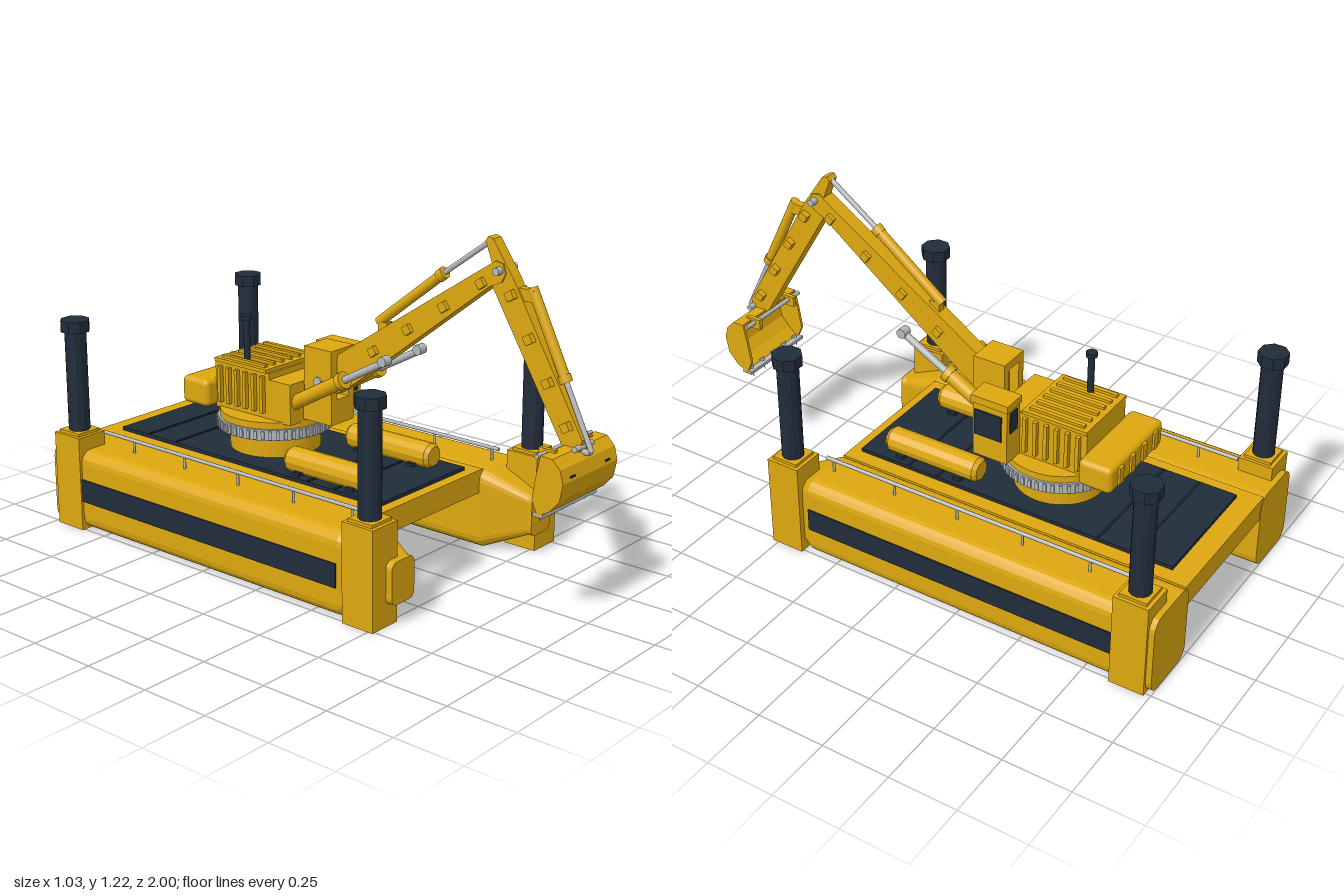
import * as THREE from 'three';
import { RoundedBoxGeometry } from 'three/addons/geometries/RoundedBoxGeometry.js';

const makeMat = (name, color, side = THREE.FrontSide) => {
  const m = new THREE.MeshStandardMaterial({ color, side });
  m.name = name;
  return m;
};

export function createModel() {
  const yellow = makeMat('machineYellow', 0xdca70f);
  const dark = makeMat('darkSteel', 0x212c3a);
  const silver = makeMat('bareMetal', 0xb4b8bc);
  const root = new THREE.Group();
  root.name = 'amphibiousExcavator';

  const add = (name, geo, mat, x = 0, y = 0, z = 0) => {
    const m = new THREE.Mesh(geo, mat);
    m.name = name;
    m.position.set(x, y, z);
    root.add(m);
    return m;
  };
  // box from its limits on each axis
  const box = (name, mat, x0, x1, y0, y1, z0, z1, r = 0) => {
    const s = [x1 - x0, y1 - y0, z1 - z0];
    const g = r ? new RoundedBoxGeometry(...s, 2, r) : new THREE.BoxGeometry(...s);
    return add(name, g, mat, (x0 + x1) / 2, (y0 + y1) / 2, (z0 + z1) / 2);
  };
  const drum = (name, mat, r, y0, y1, x, z, sides = 24) => {
    const g = new THREE.CylinderGeometry(r, r, y1 - y0, sides).rotateY(Math.PI / sides);
    return add(name, sides < 16 ? flat(g) : g, mat, x, (y0 + y1) / 2, z);
  };
  const flat = g => { const f = g.toNonIndexed(); f.computeVertexNormals(); return f; };
  // round bar between two points
  const bar = (name, mat, r, a, b, sides = 16) => {
    const p = new THREE.Vector3(...a), q = new THREE.Vector3(...b), d = q.clone().sub(p);
    const m = add(name, new THREE.CylinderGeometry(r, r, d.length(), sides), mat);
    m.position.copy(p.add(q).multiplyScalar(0.5));
    m.quaternion.setFromUnitVectors(new THREE.Vector3(0, 1, 0), d.normalize());
    return m;
  };
  // side profile of [z, y] points given a width along x
  const plate = (name, mat, pts, width, x = 0) => {
    const g = new THREE.ExtrudeGeometry(new THREE.Shape(pts.map(p => new THREE.Vector2(...p))),
      { depth: width, bevelEnabled: false });
    return add(name, g.translate(0, 0, -width / 2).rotateY(-Math.PI / 2), mat, x);
  };
  // rounded rectangle ring, counter-clockwise seen from +z
  const ring = (x0, x1, y0, y1, r, z) => {
    const out = [];
    [[x1 - r, y1 - r], [x0 + r, y1 - r], [x0 + r, y0 + r], [x1 - r, y0 + r]].forEach(([cx, cy], q) => {
      for (let i = 0; i <= 4; i++) {
        const a = (q + i / 4) * Math.PI / 2;
        out.push([cx + r * Math.cos(a), cy + r * Math.sin(a), z]);
      }
    });
    return out;
  };
  const loft = rings => {
    const v = [], n = rings[0].length;
    const mid = r => [0, 1, 2].map(k => r.reduce((s, p) => s + p[k], 0) / n);
    const first = rings[0], last = rings[rings.length - 1], c0 = mid(first), c1 = mid(last);
    for (let i = 0; i < n; i++) {
      const j = (i + 1) % n;
      for (let k = 0; k + 1 < rings.length; k++) {
        const a = rings[k], b = rings[k + 1];
        v.push(a[i], a[j], b[j], a[i], b[j], b[i]);
      }
      v.push(c0, first[j], first[i], c1, last[i], last[j]);
    }
    const g = new THREE.BufferGeometry();
    g.setAttribute('position', new THREE.Float32BufferAttribute(v.flat(), 3));
    g.computeVertexNormals();
    return g;
  };

  // Hull: deck with two floats
  box('deck', yellow, -0.29, 0.29, 0.215, 0.3, -0.998, 0.36);
  box('deckPlate', dark, -0.235, 0.235, 0.3, 0.313, -0.92, 0.32);
  for (const z of [-0.78, -0.64, 0.0, 0.12]) box('deckSeam', dark, -0.23, 0.23, 0.313, 0.317, z - 0.004, z + 0.004);
  for (const s of [-1, 1]) {
    const span = (a, b) => (s > 0 ? [a, b] : [-b, -a]);
    add('pontoon', loft([
      ring(...span(0.27, 0.503), 0.002, 0.3, 0.045, -1),
      ring(...span(0.27, 0.503), 0.002, 0.3, 0.045, 0.36),
      ring(...span(0.33, 0.445), 0.075, 0.225, 0.025, 0.525),
      ring(...span(0.33, 0.445), 0.075, 0.225, 0.025, 0.545)]), yellow);
    box('sideStripe', dark, ...span(0.5, 0.508), 0.11, 0.195, -0.855, 0.36);

    // Spud legs in their housings
    for (const z of [-0.915, 0.457]) {
      box('legHousing', yellow, ...span(0.388, 0.513), 0, 0.352, z - 0.064, z + 0.064);
      box('legCollar', yellow, ...span(0.4, 0.5), 0.352, 0.363, z - 0.05, z + 0.05);
      drum('spudLeg', dark, 0.039, -0.001, 0.74, s * 0.45, z, 12);
      drum('spudCap', dark, 0.054, 0.732, 0.774, s * 0.45, z, 8);
    }

    // Handrail
    bar('handrail', silver, 0.007, [s * 0.385, 0.346, -0.85], [s * 0.385, 0.346, 0.36], 8);
    for (let i = 0; i < 5; i++) {
      const z = 0.33 - i * 0.257;
      bar('railPost', silver, 0.005, [s * 0.385, 0.295, z], [s * 0.385, 0.346, z], 8);
    }

    // Deck tank with chamfered ends
    const tank = new THREE.LatheGeometry([[0, -0.19], [0.035, -0.19], [0.046, -0.175],
      [0.046, 0.175], [0.035, 0.19], [0, 0.19]].map(p => new THREE.Vector2(...p)), 12);
    add('deckTank', flat(tank.rotateX(Math.PI / 2)), yellow, s * 0.165, 0.351, 0.05);
    for (const z of [-0.07, 0.17]) box('tankSaddle', dark, s * 0.165 - 0.052, s * 0.165 + 0.052, 0.312, 0.325, z - 0.015, z + 0.015);
  }

  // Slewing ring
  drum('slewBase', yellow, 0.165, 0.3, 0.392, 0, -0.36, 32);
  drum('slewRing', silver, 0.208, 0.39, 0.43, 0, -0.36, 48);
  for (let i = 0; i < 48; i++) {
    const a = i / 48 * Math.PI * 2;
    const tooth = box('ringTooth', silver, -0.006, 0.006, 0.395, 0.425, -0.006, 0.006);
    tooth.position.set(0.208 * Math.sin(a), 0.41, -0.36 + 0.208 * Math.cos(a));
    tooth.rotation.y = a;
  }
  drum('turntable', yellow, 0.2, 0.43, 0.455, 0, -0.36, 48);

  // Engine house with ribs
  box('engineHouse', yellow, -0.13, 0.13, 0.45, 0.622, -0.53, -0.27);
  box('houseRoof', yellow, -0.135, 0.135, 0.622, 0.635, -0.53, -0.28);
  box('frontHouse', yellow, -0.13, 0.13, 0.45, 0.6, -0.27, -0.17);
  for (let i = 0; i < 6; i++) {
    const x = -0.11 + i * 0.044, z = -0.5 + i * 0.041;
    box('roofRib', yellow, x - 0.008, x + 0.008, 0.635, 0.645, -0.51, -0.3);
    for (const s of [-1, 1]) box('sideRib', yellow, s * 0.137 - 0.009, s * 0.137 + 0.009, 0.475, 0.61, z - 0.007, z + 0.007);
  }
  box('counterweight', yellow, -0.184, 0.184, 0.455, 0.556, -0.652, -0.525, 0.02);
  for (let i = 0; i < 4; i++) {
    const x = -0.12 + i * 0.08;
    box('counterweightRib', yellow, x - 0.014, x + 0.014, 0.475, 0.54, -0.66, -0.64);
  }
  drum('exhaustPipe', dark, 0.012, 0.63, 0.79, -0.08, -0.42, 16);
  drum('exhaustCap', dark, 0.02, 0.783, 0.8, -0.08, -0.42, 16);

  // Cab
  box('cab', yellow, 0.13, 0.213, 0.455, 0.665, -0.27, -0.137);
  box('cabRoof', yellow, 0.127, 0.217, 0.662, 0.69, -0.275, -0.128);
  box('cabSideWindow', dark, 0.212, 0.219, 0.54, 0.638, -0.25, -0.145);
  box('cabInnerWindow', dark, 0.126, 0.132, 0.61, 0.65, -0.25, -0.15);
  box('cabFrontWindow', dark, 0.152, 0.192, 0.515, 0.65, -0.139, -0.132);
  box('cabRearWindow', dark, 0.15, 0.195, 0.57, 0.65, -0.274, -0.268);

  // Boom foot bracket
  for (const s of [-1, 1]) box('boomBracket', yellow, s * 0.046 - 0.015, s * 0.046 + 0.015, 0.48, 0.73, -0.165, -0.04);
  box('bracketTop', yellow, -0.06, 0.06, 0.7, 0.73, -0.165, -0.04);
  box('bracketBase', yellow, -0.06, 0.06, 0.46, 0.55, -0.18, -0.04);
  bar('boomFootPin', silver, 0.018, [-0.068, 0.61, -0.1], [0.068, 0.61, -0.1]);

  // Boom and stick
  plate('boom', yellow, [[0.66, 1.11], [0.65, 1.14], [0.62, 1.147], [-0.02, 0.725], [-0.13, 0.66],
    [-0.13, 0.57], [-0.06, 0.56], [0.04, 0.625], [0.6, 1.06], [0.645, 1.08]], 0.056);
  plate('stick', yellow, [[0.575, 1.205], [0.585, 1.22], [0.605, 1.215], [0.66, 1.135], [0.685, 1.1],
    [0.965, 0.62], [0.955, 0.58], [0.92, 0.555], [0.9, 0.57], [0.6, 1.07], [0.605, 1.13]], 0.044);
  bar('elbowPin', silver, 0.013, [-0.053, 1.118, 0.638], [0.053, 1.118, 0.638]);
  const studs = (n, a, b, angle) => {
    for (let i = 0; i < n; i++) for (const s of [-1, 1]) {
      const t = i / (n - 1);
      const m = box('sideStud', yellow, -0.011, 0.011, -0.015, 0.015, -0.015, 0.015);
      m.position.set(s * 0.033, a[1] + (b[1] - a[1]) * t, a[0] + (b[0] - a[0]) * t);
      m.rotation.x = angle;
    }
  };
  studs(4, [0.57, 1.067], [0.125, 0.757], -0.6);
  studs(4, [0.685, 1.045], [0.91, 0.655], 1.05);

  // Hydraulic cylinders: barrel a-b, rod b-c
  const ram = (name, r, a, b, c) => {
    bar(name + 'Barrel', yellow, r, a, b);
    bar(name + 'Collar', yellow, r * 1.2, b, b.map((v, i) => v + (a[i] - v) * 0.08));
    bar(name + 'Rod', silver, r * 0.5, b, c);
  };
  ram('stickRam', 0.018, [0, 0.855, 0.125], [0, 1.07, 0.4], [0, 1.208, 0.59]);
  ram('bucketRam', 0.018, [0, 1.075, 0.745], [0, 0.79, 0.885], [0, 0.58, 0.988]);
  box('stickRamLug', yellow, -0.015, 0.015, 0.8, 0.86, 0.13, 0.17);
  box('bucketRamLug', yellow, -0.015, 0.015, 1.03, 1.07, 0.69, 0.76);
  for (const s of [-1, 1]) {
    const x = s * 0.095;
    ram('boomRam', 0.026, [x, 0.51, -0.21], [x, 0.655, 0.05], [x, 0.755, 0.232]);
    bar('boomRamEye', silver, 0.018, [x - 0.018, 0.755, 0.225], [x + 0.018, 0.755, 0.225]);
  }

  // Bucket: curved shell, cheeks, cutting edge and teeth
  const outer = [[0.9, 0.592], [0.945, 0.59], [0.975, 0.56], [0.987, 0.515], [0.975, 0.455], [0.94, 0.415], [0.895, 0.39]];
  const inner = [[0.9, 0.4], [0.935, 0.428], [0.964, 0.463], [0.975, 0.515], [0.965, 0.555], [0.94, 0.578], [0.9, 0.58]];
  plate('bucketShell', yellow, [...outer, ...inner], 0.31);
  for (const s of [-1, 1]) {
    plate('bucketCheek', yellow, [...outer, [0.872, 0.44], [0.885, 0.52]], 0.01, s * 0.151);
    box('bucketLug', yellow, s * 0.1 - 0.008, s * 0.1 + 0.008, 0.56, 0.6, 0.86, 0.92);
    box('bucketSlot', dark, s * 0.1 - 0.013, s * 0.1 + 0.013, 0.526, 0.531, 0.98, 0.988);
  }
  box('cuttingEdge', silver, -0.155, 0.155, 0.386, 0.398, 0.876, 0.915);
  for (let i = 0; i < 5; i++) {
    const tooth = new THREE.ConeGeometry(0.014, 0.045, 4).rotateX(Math.PI + 0.35);
    add('bucketTooth', flat(tooth), silver, -0.13 + i * 0.065, 0.383, 0.893);
  }
  bar('bucketPin', silver, 0.008, [-0.155, 0.585, 0.885], [0.155, 0.585, 0.885]);
  bar('linkPin', silver, 0.01, [-0.05, 0.595, 0.955], [0.05, 0.595, 0.955]);
  bar('bucketLink', silver, 0.011, [0, 0.58, 0.985], [0, 0.57, 0.92]);
  return root;
}
